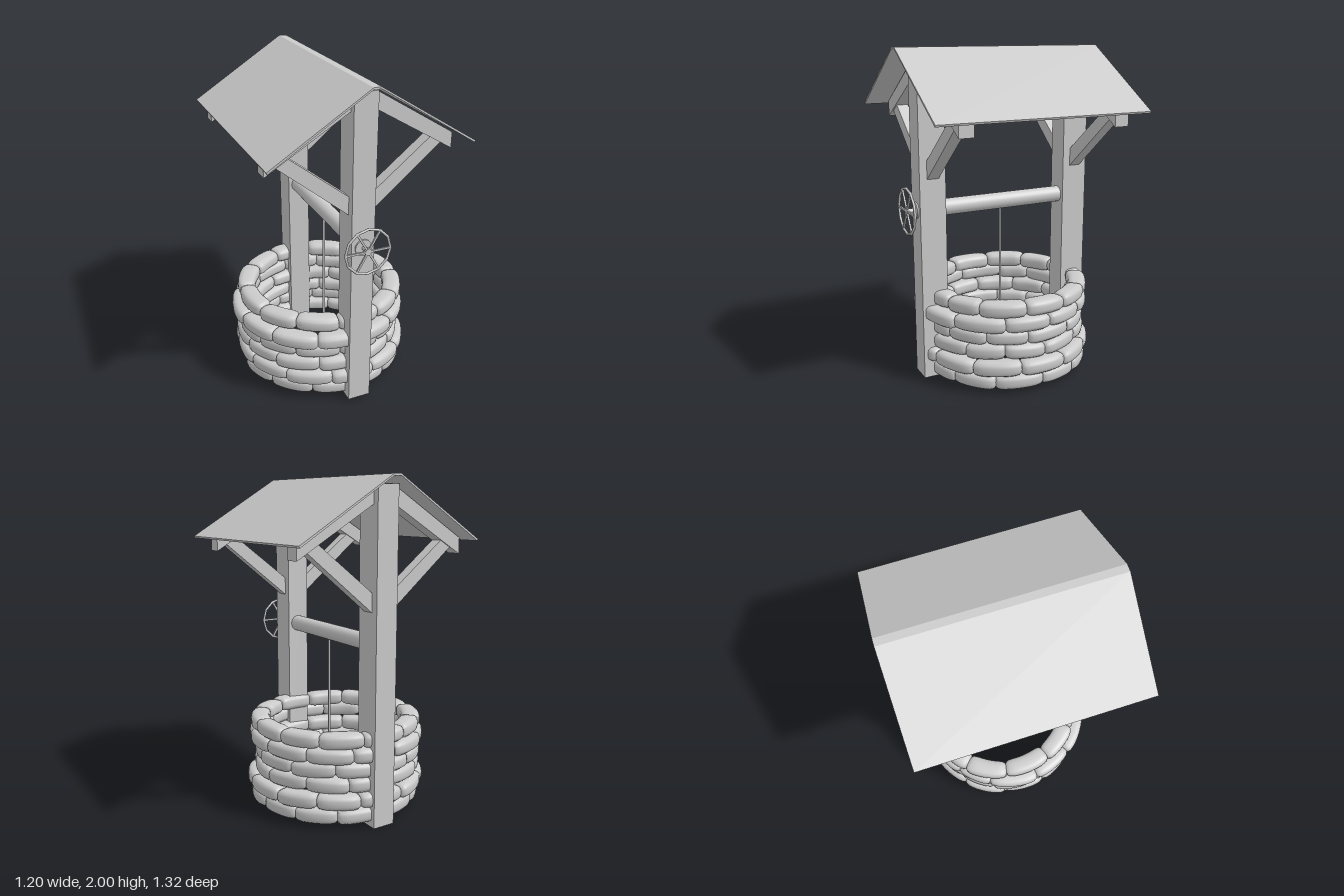
import * as THREE from 'three';
import { mergeVertices } from 'three/addons/utils/BufferGeometryUtils.js';

const CX = -0.01; // centre line of the timber frame

export function createModel() {
  const model = new THREE.Group();
  model.name = 'well';
  const mat = new THREE.MeshStandardMaterial({ color: 0xcccccc });

  let seed = 7;
  const rand = () => (seed = (seed * 16807) % 2147483647) / 2147483647;

  function add(name, geometry, x = 0, y = 0, z = 0, parent = model) {
    const mesh = new THREE.Mesh(geometry, mat);
    mesh.name = name;
    mesh.position.set(x, y, z);
    parent.add(mesh);
    return mesh;
  }

  // Flat outline in x/y, extruded from z0 to z1
  function slab(points, z0, z1) {
    const shape = new THREE.Shape(points.map(([x, y]) => new THREE.Vector2(x, y)));
    return new THREE.ExtrudeGeometry(shape, { depth: z1 - z0, bevelEnabled: false }).translate(0, 0, z0);
  }

  // Round bar along z
  function bar(r, z0, z1, sides) {
    return new THREE.CylinderGeometry(r, r, z1 - z0, sides).rotateX(Math.PI / 2).translate(0, 0, (z0 + z1) / 2);
  }

  // Rounded block, bent around the ring
  function stone(radius, angle, halfAngle, halfHeight, halfDepth) {
    let geo = new THREE.SphereGeometry(1, 20, 18).rotateZ(Math.PI / 2);
    geo.deleteAttribute('uv');
    geo.deleteAttribute('normal');
    geo = mergeVertices(geo, 1e-4);
    const pos = geo.attributes.position;
    const endPower = 5.5, sidePower = 3.6; // squareness of the ends and of the cross-section
    const tilt = (rand() - 0.5) * 0.012;
    const bulge = (rand() - 0.5) * 0.15;
    for (let i = 0; i < pos.count; i++) {
      const [x, y, z] = [pos.getX(i), pos.getY(i), pos.getZ(i)].map(Math.abs);
      const section = (y ** sidePower + z ** sidePower) ** (1 / sidePower);
      const n = (x ** endPower + section ** endPower) ** (1 / endPower);
      const u = pos.getX(i) / n, h = pos.getY(i) / n, d = pos.getZ(i) / n;
      const a = angle + u * halfAngle;
      const r = radius + d * halfDepth * (1 + bulge * u);
      pos.setXYZ(i, Math.sin(a) * r, h * halfHeight + u * tilt, Math.cos(a) * r);
    }
    geo.computeVertexNormals();
    return geo;
  }

  // Stone wall: courses from the bottom up as [outer radius, centre x, centre z]
  const wall = new THREE.Group();
  wall.name = 'stoneWall';
  model.add(wall);
  const courses = [
    [0.53, -0.027, -0.028], [0.553, -0.032, -0.022], [0.527, -0.047, -0.023],
    [0.522, -0.047, -0.03], [0.553, -0.045, -0.013], [0.525, -0.027, -0.034],
  ];
  const count = 12;
  courses.forEach(([outer, x, z], row) => {
    const start = (row % 2) * Math.PI / count + rand() * 0.15;
    const joints = Array.from({ length: count }, (_, i) => start + (i + (rand() - 0.5) * 0.2) * 2 * Math.PI / count);
    joints.push(joints[0] + 2 * Math.PI);
    for (let i = 0; i < count; i++) {
      const half = (joints[i + 1] - joints[i]) / 2;
      const geo = stone(outer - 0.059 + (rand() - 0.5) * 0.012, joints[i] + half, half * 1.01, 0.046, 0.058);
      add('stone', geo, x, 0.072 + row * 0.09, z, wall);
    }
  });

  // Two timber frames: post, rafters and braces
  for (const [name, zc, bottom, depth] of [['front', 0.47, 0.015, 0.162], ['back', -0.496, 0, 0.166]]) {
    const frame = new THREE.Group();
    frame.name = name + 'Frame';
    model.add(frame);
    add('post', new THREE.BoxGeometry(0.14, 1.95 - bottom, depth), CX, (1.95 + bottom) / 2, zc, frame);
    for (const side of [-1, 1]) {
      const outline = pts => {
        const mirrored = pts.map(([x, y]) => [CX + side * x, y]);
        return side < 0 ? mirrored.reverse() : mirrored;
      };
      add('rafter', slab(outline([[0.05, 1.855], [0.55, 1.557], [0.55, 1.65], [0.05, 1.955]]), zc - 0.046, zc + 0.044), 0, 0, 0, frame);
      add('brace', slab(outline([[0.05, 1.24], [0.5, 1.61], [0.43, 1.65], [0.05, 1.35]]), zc - 0.037, zc + 0.035), 0, 0, 0, frame);
    }
  }

  // Thin folded roof with a narrow flat ridge
  const roofTop = [[0.594, 1.642], [0.015, 2], [-0.03, 2], [-0.594, 1.647]];
  const roofUnder = roofTop.map(([x, y]) => [x * 0.992, y - 0.011]).reverse();
  add('roof', slab([...roofTop, ...roofUnder], -0.66, 0.66));

  // Winding drum and rope
  const axleY = 1.065;
  add('drum', bar(0.05, -0.43, 0.56, 24), CX, axleY, 0);
  add('rope', new THREE.CylinderGeometry(0.008, 0.008, 1.03, 8), CX + 0.003, 0.535, 0);

  // Crank wheel
  const wheel = new THREE.Group();
  wheel.name = 'crankWheel';
  wheel.position.set(-0.007, axleY, 0.609);
  model.add(wheel);
  add('rim', new THREE.TorusGeometry(0.138, 0.008, 6, 12), 0, 0, 0, wheel);
  for (let i = 0; i < 3; i++) {
    const spoke = add('spoke', new THREE.BoxGeometry(0.27, 0.012, 0.01), 0, 0, 0, wheel);
    spoke.rotation.z = i * Math.PI / 3;
  }
  add('hub', bar(0.02, -0.012, 0.006, 12), 0, 0, 0, wheel);
  add('shaft', bar(0.014, -0.06, 0, 12), 0, 0, 0, wheel);

  return model;
}
